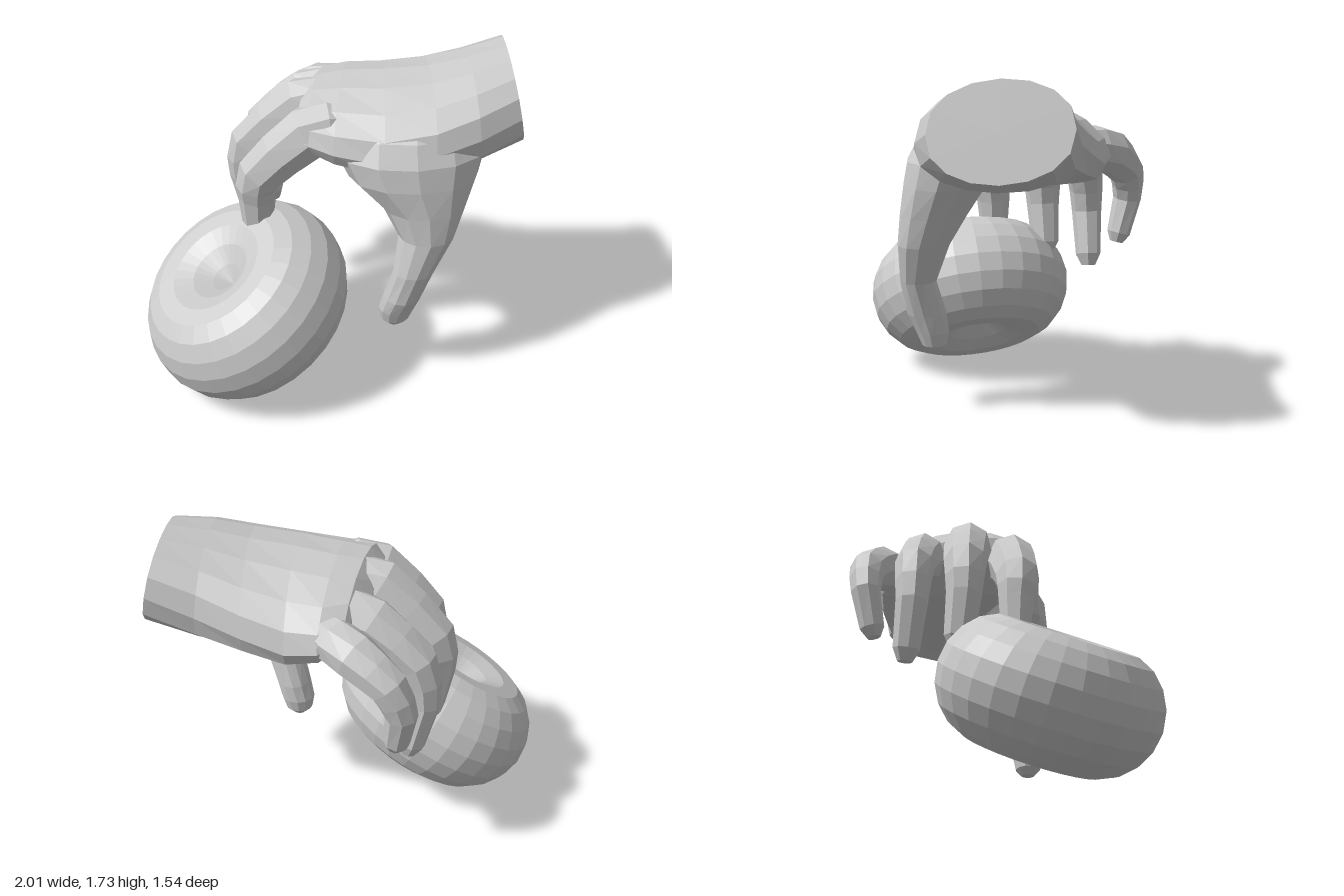
import * as THREE from 'three';

const V = (x, y, z) => new THREE.Vector3(x, y, z);
const material = new THREE.MeshStandardMaterial({ color: 0xcccccc, flatShading: true });

function addMesh(parent, name, geometry) {
  const mesh = new THREE.Mesh(geometry, material);
  mesh.name = name;
  parent.add(mesh);
  return mesh;
}

// Skin a list of equal-sized rings and close both ends
function loft(rings) {
  const n = rings[0].length, last = rings.length - 1;
  const points = rings.flat(), index = [];
  for (let i = 0; i < last; i++) {
    for (let j = 0; j < n; j++) {
      const k = (j + 1) % n;
      const a = i * n + j, b = i * n + k, c = b + n, d = a + n;
      index.push(a, b, c, a, c, d);
    }
  }
  for (const i of [0, last]) {
    const center = V(0, 0, 0);
    rings[i].forEach(p => center.addScaledVector(p, 1 / n));
    points.push(center);
    const m = points.length - 1;
    for (let j = 0; j < n; j++) {
      const a = i * n + j, b = i * n + (j + 1) % n;
      if (i === 0) index.push(m, b, a); else index.push(m, a, b);
    }
  }
  const geometry = new THREE.BufferGeometry().setFromPoints(points);
  geometry.setIndex(index);
  geometry.computeVertexNormals();
  return geometry;
}

// Ring with a point for each angle
const ring = (n, fn) => Array.from({ length: n }, (_, j) => {
  const a = (j / n) * Math.PI * 2;
  return fn(Math.cos(a), Math.sin(a));
});

// Curled finger: a tapered tube with firm bends, a root sunk in the palm and a blunt tip
function fingerGeometry(path, rootR, tipR) {
  const curve = new THREE.CatmullRomCurve3(path.map(p => V(...p)), false, 'catmullrom', 0.3);
  const stops = [0, 0.125, 0.25, 0.375, 0.5, 0.625, 0.75, 0.94, 1];
  const swell = [0.6, 0.9, 1, 1, 1, 1, 1, 0.9, 0.5];
  return loft(stops.map((t, i) => {
    const center = curve.getPoint(t), f = curve.getTangent(t);
    const u = V(0, 0, 1).addScaledVector(f, -f.z).normalize();
    const v = f.clone().cross(u);
    const r = THREE.MathUtils.lerp(rootR, tipR, Math.min(1, t * 1.2)) * swell[i];
    return ring(8, (c, s) => center.clone().addScaledVector(u, c * r).addScaledVector(v, s * r * 1.06));
  }));
}

export function createModel() {
  const model = new THREE.Group();
  model.name = 'handOverDimpledRound';

  // Tilted round with a pit in both faces
  const half = [[0.572, 0], [0.556, 0.1], [0.51, 0.19], [0.44, 0.262], [0.355, 0.303],
    [0.26, 0.303], [0.165, 0.262], [0.08, 0.2], [0, 0.13]];
  const profile = [
    ...half.slice(1).reverse().map(([r, y]) => new THREE.Vector2(r, -y)),
    ...half.map(([r, y]) => new THREE.Vector2(r, y)),
  ];
  const round = addMesh(model, 'dimpledRound', new THREE.LatheGeometry(profile, 28));
  round.position.set(-0.475, 0.46, 0.202);
  round.quaternion.setFromUnitVectors(V(0, 1, 0), V(-0.51, 0.84, 0.19).normalize());

  const hand = new THREE.Group();
  hand.name = 'hand';
  model.add(hand);

  // Wrist to knuckles: x, centre y, centre z, half height, half width, roll, arch, x shift by y, x shift by z
  const palm = [
    [0.945, 1.5, -0.09, 0.23, 0.335, -0.05, 0, -0.22, -0.08],
    [0.72, 1.445, -0.06, 0.245, 0.39, 0, 0.15, -0.1, -0.05],
    [0.5, 1.425, -0.07, 0.225, 0.44, 0.02, 0.35, 0, -0.05],
    [0.27, 1.415, -0.1, 0.21, 0.46, 0.04, 0.5, 0, -0.1],
    [0.07, 1.43, -0.15, 0.175, 0.44, 0.05, 0.5, 0, -0.2],
    [-0.06, 1.455, -0.15, 0.13, 0.385, 0.05, 0.55, 0, -0.25],
    [-0.14, 1.43, -0.1, 0.08, 0.29, 0.04, 0.6, 0, -0.2],
  ];
  addMesh(hand, 'palm', loft(palm.map(([x, cy, cz, hh, hw, roll, arch, sy, sz]) => ring(16, (c, s) => {
    const dz = c * hw;
    const dy = Math.sign(s) * Math.abs(s) ** 0.85 * hh;
    return V(x + dy * sy + dz * sz, cy + dy + dz * roll - dz * dz * arch, cz + dz);
  }))));

  // Thumb and its web: y, centre x, centre z, half size in x, half size in z
  const thumb = [
    [1.54, 0.38, 0.04, 0.3, 0.18],
    [1.43, 0.38, 0.13, 0.36, 0.225],
    [1.32, 0.38, 0.185, 0.38, 0.23],
    [1.2, 0.395, 0.225, 0.33, 0.21],
    [1.05, 0.445, 0.28, 0.215, 0.168],
    [0.9, 0.455, 0.33, 0.145, 0.13],
    [0.7, 0.39, 0.37, 0.105, 0.093],
    [0.52, 0.342, 0.335, 0.098, 0.103],
    [0.42, 0.318, 0.31, 0.094, 0.086],
    [0.35, 0.312, 0.302, 0.076, 0.066],
    [0.315, 0.31, 0.3, 0.035, 0.035],
  ];
  addMesh(hand, 'thumb', loft(thumb.map(([y, x, z, hx, hz]) =>
    ring(12, (c, s) => V(x + c * hx, y, z + s * hz)))));

  // Four curled fingers
  const fingers = {
    indexFinger: [[[0.08, 1.42, 0.1], [-0.13, 1.39, 0.105], [-0.375, 1.15, 0.075], [-0.395, 1, 0.06], [-0.395, 0.8, 0.055]], 0.16, 0.085],
    middleFinger: [[[0.06, 1.45, -0.1], [-0.14, 1.435, -0.14], [-0.41, 1.18, -0.21], [-0.435, 0.98, -0.22], [-0.39, 0.7, -0.24]], 0.15, 0.085],
    ringFinger: [[[0.1, 1.42, -0.31], [-0.1, 1.37, -0.38], [-0.32, 1.18, -0.455], [-0.36, 0.95, -0.47], [-0.29, 0.65, -0.485]], 0.14, 0.076],
    littleFinger: [[[0.18, 1.38, -0.42], [-0.02, 1.315, -0.59], [-0.18, 1.2, -0.68], [-0.245, 1.04, -0.69], [-0.22, 0.8, -0.635]], 0.13, 0.07],
  };
  for (const [name, [path, rootR, tipR]] of Object.entries(fingers)) {
    addMesh(hand, name, fingerGeometry(path, rootR, tipR));
  }

  return model;
}
